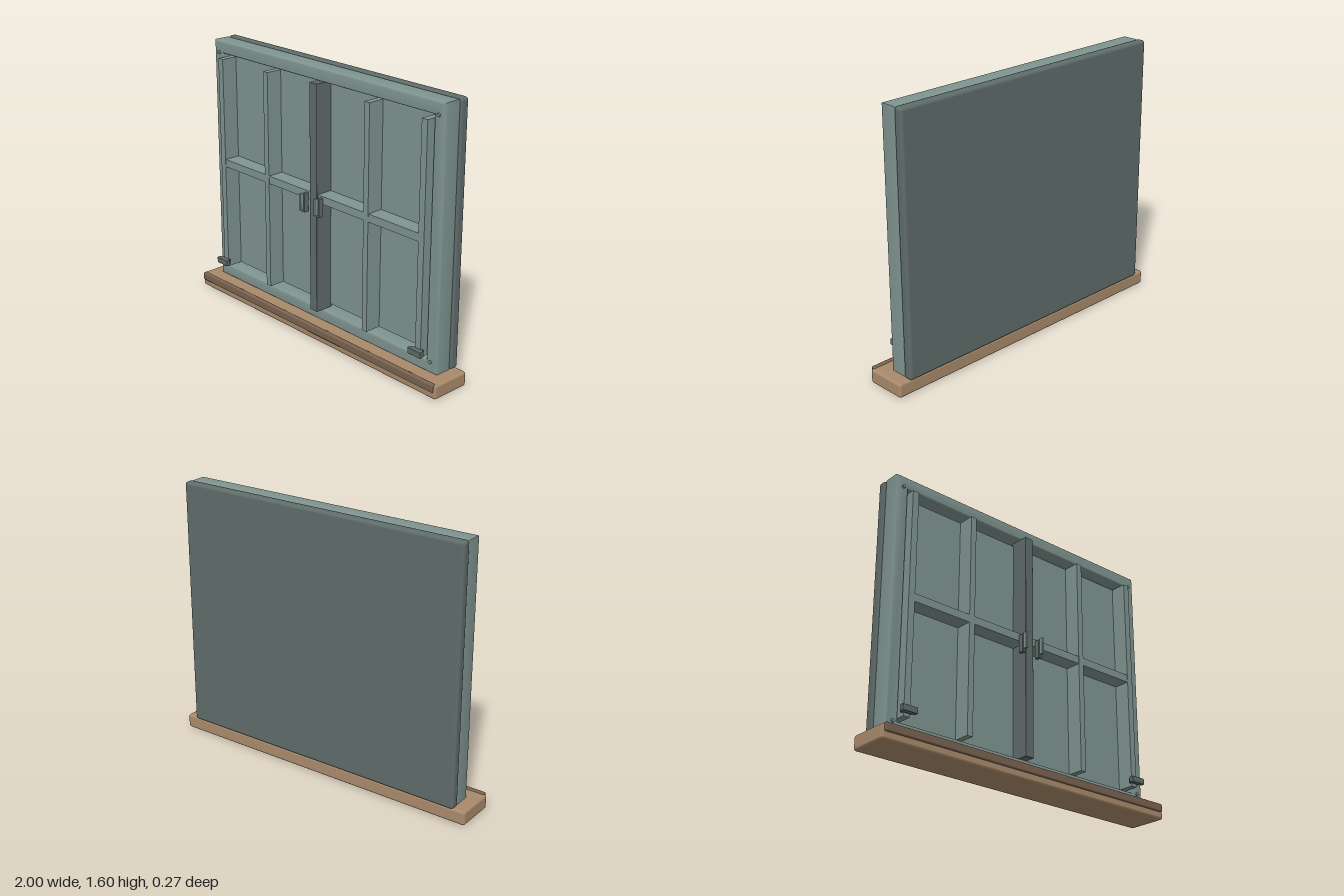
import * as THREE from 'three';
import { RoundedBoxGeometry } from 'three/addons/geometries/RoundedBoxGeometry.js';
import { toCreasedNormals } from 'three/addons/utils/BufferGeometryUtils.js';

const mat = (name, color) => {
  const m = new THREE.MeshStandardMaterial({ color });
  m.name = name;
  return m;
};

export function createModel() {
  const root = new THREE.Group();
  root.name = 'window';
  const paint = mat('greyGreenPaint', 0x7f9490);
  const dark = mat('darkGreyGreen', 0x5f6c6a);
  const wood = mat('wood', 0xa98a6b);
  const darkWood = mat('darkWood', 0x7a6350);

  const add = (name, geometry, material) => {
    const m = new THREE.Mesh(geometry, material);
    m.name = name;
    root.add(m);
    return m;
  };
  // Box from its limits, with optional rounded edges
  const box = (name, material, [x0, x1], [y0, y1], [z0, z1], r = 0) => {
    const s = [x1 - x0, y1 - y0, z1 - z0];
    const g = r ? new RoundedBoxGeometry(...s, 3, r) : new THREE.BoxGeometry(...s);
    add(name, g, material).position.set((x0 + x1) / 2, (y0 + y1) / 2, (z0 + z1) / 2);
  };
  const rect = (path, x, y0, y1) => {
    path.moveTo(-x, y0);
    path.lineTo(x, y0);
    path.lineTo(x, y1);
    path.lineTo(-x, y1);
    path.closePath();
    return path;
  };

  // Sill with its drip lip
  box('sill', wood, [-1, 1], [0, 0.085], [-0.125, 0.12], 0.015);
  box('sillLip', darkWood, [-0.985, 0.985], [0.043, 0.09], [0.104, 0.132], 0.007);

  // Backing slab
  box('backPanel', dark, [-0.93, 0.93], [0.08, 1.6], [-0.134, -0.076], 0.018);

  // Frame with rounded edges around the opening
  const outline = rect(new THREE.Shape(), 0.922, 0.083, 1.595);
  outline.holes.push(rect(new THREE.Path(), 0.845, 0.155, 1.52));
  const b = 0.012;
  const frame = new THREE.ExtrudeGeometry(outline, {
    depth: 0.11 - 2 * b, bevelEnabled: true, bevelThickness: b,
    bevelSize: b, bevelOffset: -b, bevelSegments: 3,
  });
  frame.translate(0, 0, -0.08 + b);
  add('frame', toCreasedNormals(frame, 0.7), paint);

  // Recessed pane, with a shadow gap above and below it
  box('pane', paint, [-0.84, 0.84], [0.175, 1.5], [-0.08, -0.03]);

  // Centre post
  box('centrePost', dark, [-0.029, 0.029], [0.155, 1.52], [-0.04, 0.078], 0.004);

  for (const s of [-1, 1]) {
    const span = (a, c) => (s > 0 ? [a, c] : [-c, -a]);
    // Sash bars
    box('outerStile', paint, span(0.8, 0.84), [0.175, 1.5], [-0.04, 0.07]);
    box('verticalBar', paint, span(0.393, 0.43), [0.175, 1.5], [-0.04, 0.07]);
    box('horizontalBar', paint, span(0.029, 0.8), [0.833, 0.88], [-0.04, 0.068]);
    // Handle: plate and lever
    box('handlePlate', dark, span(0.049, 0.071), [0.758, 0.87], [0.066, 0.1], 0.003);
    box('handleLever', paint, span(0.052, 0.068), [0.775, 0.875], [0.102, 0.126], 0.003);
    // Hinge
    box('hinge', dark, span(0.775, 0.87), [0.19, 0.226], [0.076, 0.104], 0.004);
    box('hingeLeaf', dark, span(0.79, 0.855), [0.193, 0.223], [0.06, 0.08]);
    // Corner screws
    for (const y of [0.15, 1.525]) {
      const g = new THREE.CylinderGeometry(0.01, 0.01, 0.014, 16).rotateX(Math.PI / 2);
      add('screw', g, paint).position.set(s * 0.878, y, 0.034);
    }
  }
  return root;
}
